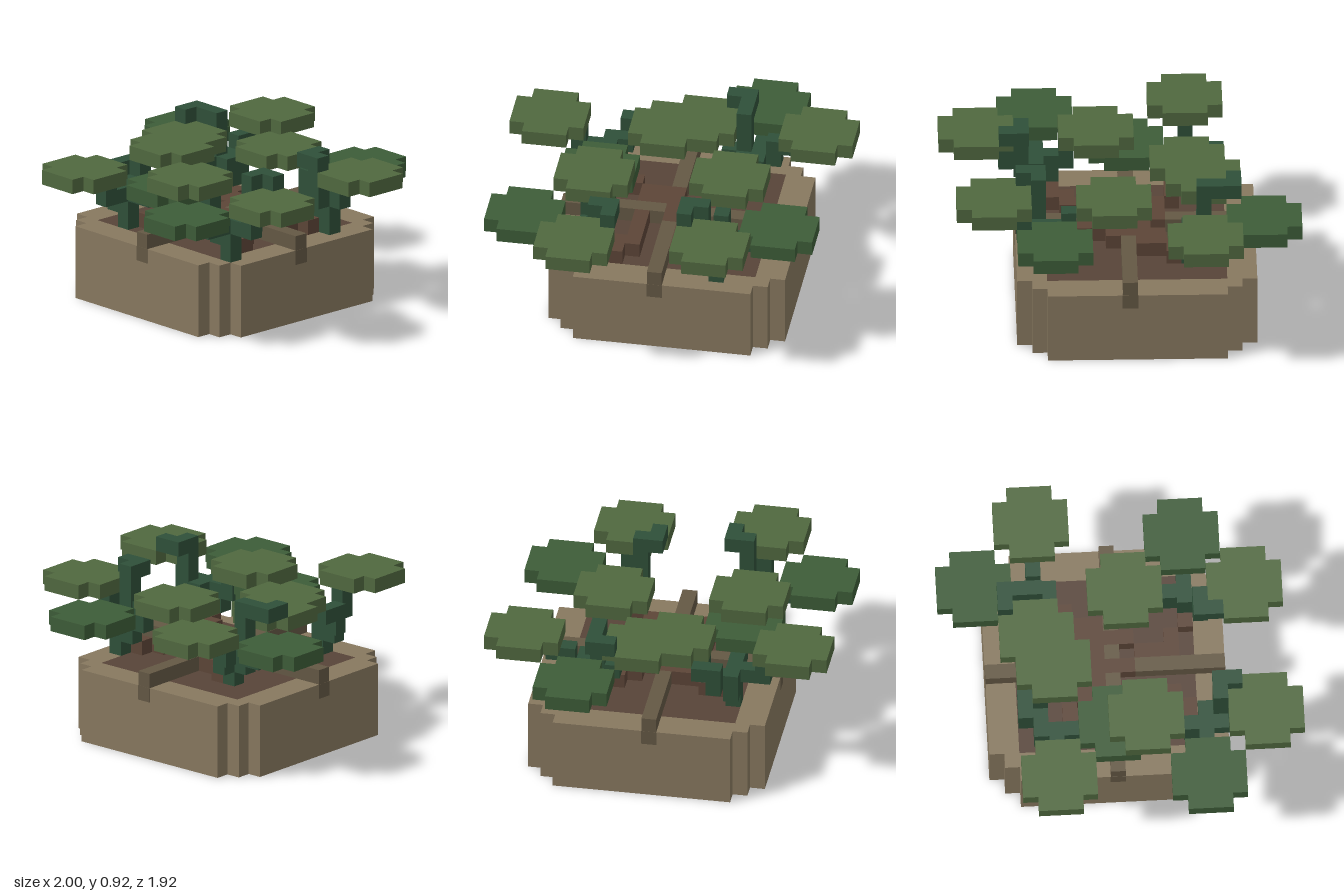
import * as THREE from 'three';
import { mergeGeometries } from 'three/addons/utils/BufferGeometryUtils.js';

const U = 1 / 12; // one block
const X0 = -1, Z0 = -23 / 24; // corner of the block grid

const mat = (color) => new THREE.MeshStandardMaterial({ color, flatShading: true });
const mats = {
  clay: mat(0x87785f), strap: mat(0x645844), soil: mat(0x574438),
  root: mat(0x5c4537), stem: mat(0x2f5039), dark: mat(0x3d5c38), light: mat(0x50683f),
};

// Box spanning grid cells [i, i+w) x [j, j+h) x [k, k+d)
function block(i, j, k, w = 1, h = 1, d = 1, grow = 0) {
  const g = new THREE.BoxGeometry(w * U + grow, h * U, d * U + grow);
  return g.translate(X0 + (i + w / 2) * U, (j + h / 2) * U, Z0 + (k + d / 2) * U);
}

// Square outline of n blocks whose corners step inwards
function steppedOutline(n, steps) {
  const pts = [], c = n / 2;
  for (let q = 0; q < 4; q++) {
    const ca = Math.round(Math.cos(q * Math.PI / 2)), sa = Math.round(Math.sin(q * Math.PI / 2));
    const add = (x, y) => pts.push(new THREE.Vector2((x * ca - y * sa) * U, (x * sa + y * ca) * U));
    for (let s = 0; s <= steps; s++) {
      add(c - s, c - steps + s);
      if (s < steps) add(c - s - 1, c - steps + s);
    }
  }
  return pts;
}

function slab(shape, i, j, k, n, h) {
  const g = new THREE.ExtrudeGeometry(shape, { depth: h * U, bevelEnabled: false });
  return g.rotateX(-Math.PI / 2).translate(X0 + (i + n / 2) * U, j * U, Z0 + (k + n / 2) * U);
}

function mesh(name, parts, material) {
  const m = new THREE.Mesh(parts.length > 1 ? mergeGeometries(parts) : parts[0], material);
  m.name = name;
  return m;
}

// Each plant: stem blocks as [i, j, k, w, h, d] and leaves as [i, j, k]
const plants = {
  frontRightPlant: {
    stem: [[7, 5, 16, 1, 3, 1], [6, 6, 16], [6, 7, 16, 4, 1, 1], [7, 7, 17, 1, 1, 2], [7, 8, 18],
      [5, 7, 15, 2, 1, 1], [5, 8, 14, 1, 1, 2], [6, 8, 14]],
    leaves: [[5, 9, 18], [9, 8, 14], [5, 9, 10]],
  },
  frontLeftPlant: {
    stem: [[17, 5, 16, 1, 3, 1], [16, 6, 16], [15, 7, 16, 5, 1, 1], [17, 7, 17, 1, 1, 2], [15, 8, 16],
      [19, 8, 16], [17, 7, 15, 2, 1, 1], [18, 8, 15, 1, 3, 1], [18, 10, 14, 2, 1, 1]],
    leaves: [[11, 9, 14], [19, 9, 14], [15, 8, 18]],
  },
  backRightPlant: {
    stem: [[7, 5, 7, 1, 2, 1], [6, 6, 7], [7, 6, 6], [6, 7, 6, 2, 1, 2], [4, 7, 6, 2, 1, 1], [6, 7, 5],
      [6, 8, 4, 1, 1, 2], [6, 7, 8], [6, 8, 7, 1, 3, 1], [4, 10, 7, 2, 1, 1], [4, 10, 8]],
    leaves: [[4, 9, 0], [0, 8, 4], [4, 9, 8]],
  },
  backLeftPlant: {
    stem: [[17, 5, 7, 1, 2, 1], [16, 6, 7], [15, 7, 7, 4, 1, 1], [16, 7, 5, 1, 1, 2], [15, 8, 7],
      [18, 8, 7], [17, 7, 8], [17, 8, 8, 1, 3, 1], [17, 10, 9, 2, 1, 1]],
    leaves: [[10, 9, 5], [18, 9, 5], [14, 8, 1]],
  },
};

// Roots lying on the soil: [i, k, w, d]
const roots = [[10, 9, 1, 4], [9, 8, 2, 2], [8, 7, 1, 2], [11, 11, 2, 1], [11, 9, 2, 1], [13, 10, 3, 1],
  [15, 9, 1, 1], [16, 8, 1, 1], [9, 13, 2, 1], [12, 13, 4, 1], [15, 14, 2, 1], [16, 15, 1, 1],
  [8, 14, 1, 2], [9, 11, 1, 2]];

export function createModel() {
  const group = new THREE.Group();

  // Square pot with stepped corners, rim and soil
  const outline = steppedOutline(16, 2);
  const rim = new THREE.Shape(outline);
  const h = 6 * U;
  rim.holes.push(new THREE.Path([[-h, -h], [-h, h], [h, h], [h, -h]].map((p) => new THREE.Vector2(...p))));
  group.add(mesh('pot', [slab(new THREE.Shape(outline), 3, 0, 3, 16, 4)], mats.clay));
  group.add(mesh('rim', [slab(rim, 3, 4, 3, 16, 1)], mats.clay));
  group.add(mesh('soil', [block(5, 4, 5, 12, 1, 12)], mats.soil));

  // Straps crossing the rim, hooked over the four walls
  const e = 0.003;
  group.add(mesh('straps', [
    block(3, 5, 11, 6, 1, 1), block(13, 5, 11, 6, 1, 1),
    block(11, 5, 3, 1, 1, 6), block(11, 5, 10), block(11, 5, 12, 1, 1, 7),
    block(3, 4, 11, 1, 1, 1, e), block(18, 4, 11, 1, 1, 1, e),
    block(11, 4, 3, 1, 1, 1, e), block(11, 4, 18, 1, 1, 1, e),
  ], mats.strap));

  group.add(mesh('roots', roots.map(([i, k, w, d]) => block(i, 5, k, w, 1, d)), mats.root));

  // Four plants with flat pads of leaves
  const leafShape = new THREE.Shape(steppedOutline(5, 1));
  for (const [name, { stem, leaves }] of Object.entries(plants)) {
    const plant = new THREE.Group();
    plant.name = name;
    plant.add(mesh('stem', stem.map((s) => block(...s)), mats.stem));
    for (const [i, j, k] of leaves) {
      plant.add(mesh('leafPad', [slab(leafShape, i, j, k, 5, 1)], j === 9 ? mats.light : mats.dark));
    }
    group.add(plant);
  }
  return group;
}
